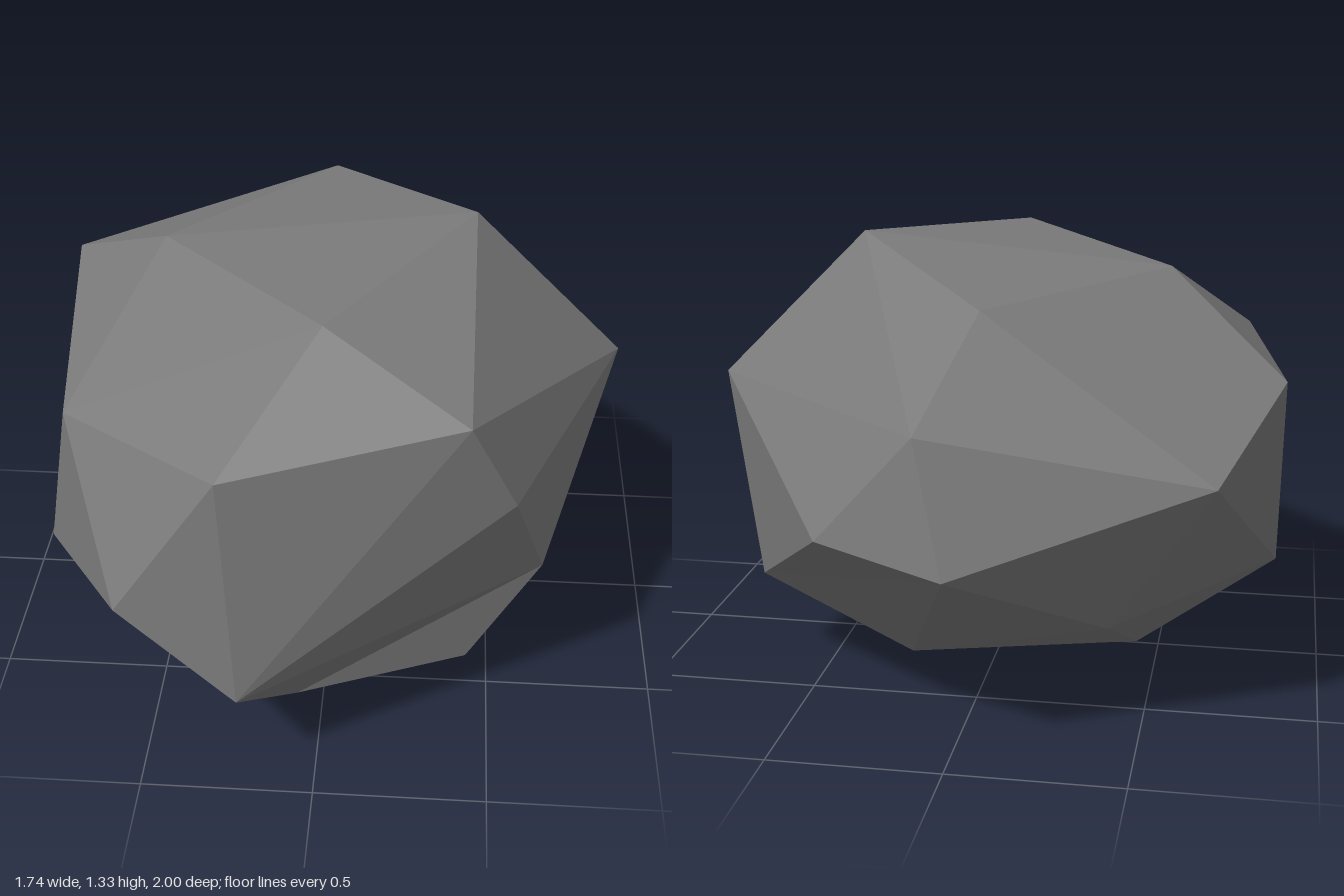
import * as THREE from 'three';
import { ConvexGeometry } from 'three/addons/geometries/ConvexGeometry.js';

const v = (x, y, z) => new THREE.Vector3(x, y, z);

// Corners that are referred to again when shaping the hollows
const noseTip = v(-0.21, 0.34, 1.0);
const noseFoot = v(-0.07, 0.085, 0.68);
const cheek = v(0.64, 0.51, 0.545);
const cheekFoot = v(0.43, 0.15, 0.55);
const backEdge = v(0.38, 0.595, -0.87);
const backTip = v(0, 0.545, -1.0);
const backFoot = v(0.205, 0.11, -0.44);
const sideFoot = v(0.715, 0.27, -0.28);

// Swap the diagonal a-b of the two triangles that share it
function flipEdge(triangles, a, b) {
  const has = (t, p) => t.some((q) => q.distanceTo(p) < 1e-5);
  const pair = triangles.filter((t) => has(t, a) && has(t, b));
  if (pair.length !== 2) return triangles;
  const [c, d] = pair.map((t) => t.find((q) => q.distanceTo(a) > 1e-5 && q.distanceTo(b) > 1e-5));
  const i = pair[0].findIndex((q) => q.distanceTo(a) < 1e-5);
  const forward = pair[0][(i + 1) % 3].distanceTo(b) < 1e-5;
  const made = forward ? [[a, d, c], [d, b, c]] : [[a, c, d], [c, b, d]];
  return triangles.filter((t) => !pair.includes(t)).concat(made);
}

function rockGeometry() {
  const corners = [
    // crown
    v(-0.87, 0.985, -0.43), v(-0.74, 0.96, 0.515), v(-0.515, 1.235, -0.045), v(0, 1.285, 0.53),
    v(0.415, 1.325, -0.09), v(0.41, 1.125, 0.765), v(-0.255, 1.035, 0.93), v(-0.04, 1.2, -0.64),
    // girth
    v(0.87, 0.87, -0.09), v(0.545, 0.845, 0.71), cheek, noseTip, v(-0.55, 0.595, 0.93),
    v(-0.855, 0.39, 0.35), v(-0.86, 0.33, -0.05), v(-0.7, 0.755, -0.735),
    v(0.095, 0.91, -0.905), backEdge, backTip,
    // underside
    sideFoot, cheekFoot, v(0.375, 0, 0.16), v(-0.435, 0.025, -0.05), noseFoot, backFoot,
    v(-0.4, 0.295, -0.62),
  ];
  const hull = new ConvexGeometry(corners).getAttribute('position');
  let triangles = [];
  for (let i = 0; i < hull.count; i += 3) {
    triangles.push([0, 1, 2].map((k) => new THREE.Vector3().fromBufferAttribute(hull, i + k)));
  }
  // Shallow hollows under the front and the back
  triangles = flipEdge(triangles, noseTip, cheekFoot);
  triangles = flipEdge(triangles, backEdge, backFoot);

  const geometry = new THREE.BufferGeometry().setFromPoints(triangles.flat());
  geometry.computeVertexNormals();
  return geometry;
}

export function createModel() {
  const stone = new THREE.MeshStandardMaterial({ color: 0x7a7a7a, flatShading: true });
  stone.name = 'stone grey';
  const rock = new THREE.Mesh(rockGeometry(), stone);
  rock.name = 'rock';
  const group = new THREE.Group();
  group.name = 'boulder';
  group.add(rock);
  return group;
}
